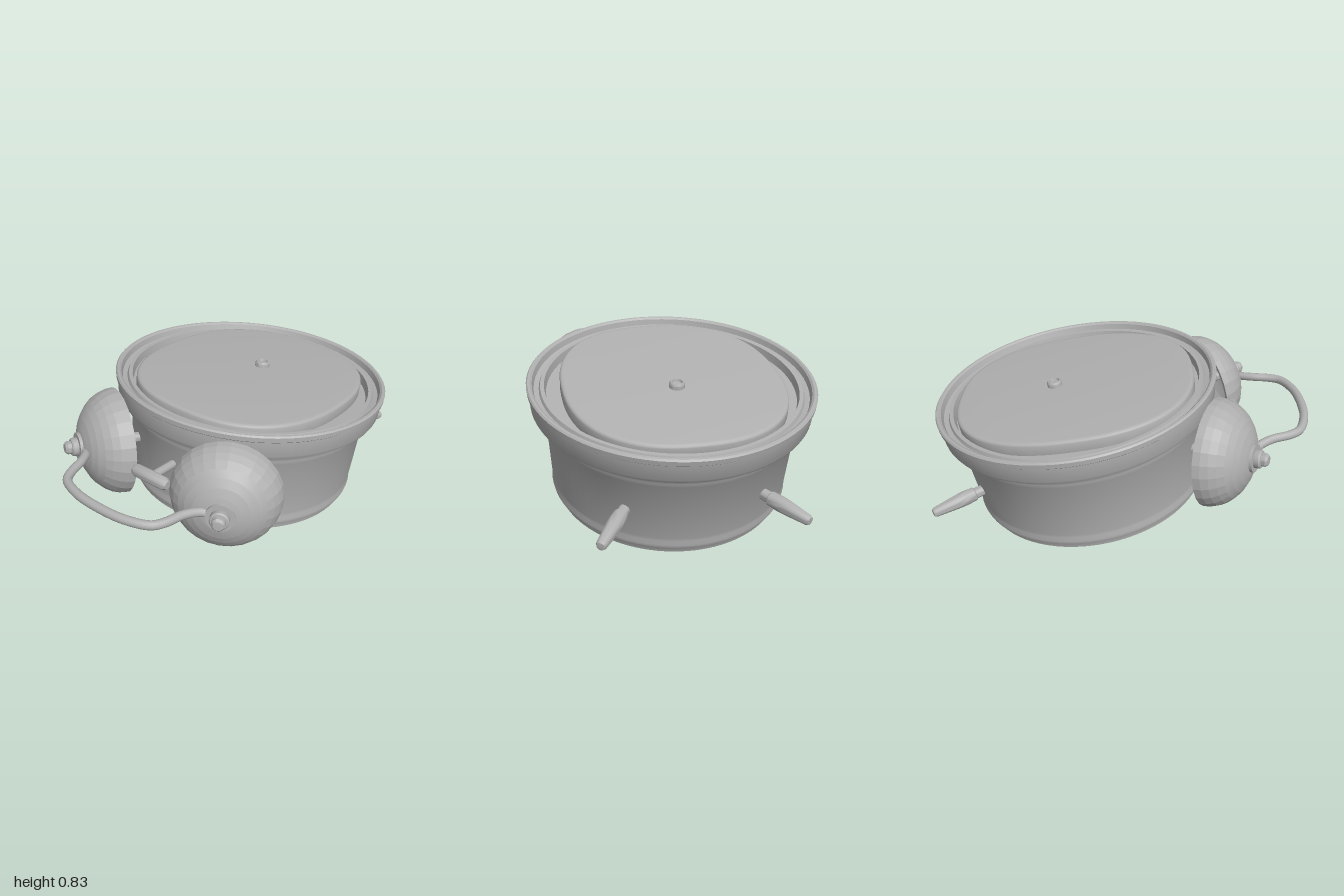
import * as THREE from 'three';
import { toCreasedNormals } from 'three/addons/utils/BufferGeometryUtils.js';

const metal = new THREE.MeshStandardMaterial({ color: 0xb0b0b0 });
const V = (x, y, z) => new THREE.Vector3(x, y, z);

function add(parent, name, geometry) {
  const mesh = new THREE.Mesh(geometry, metal);
  mesh.name = name;
  parent.add(mesh);
  return mesh;
}

function lathe(points, segments = 24, crease = 0.6, zScale = 1) {
  const g = new THREE.LatheGeometry(points.map(p => new THREE.Vector2(...p)), segments);
  g.scale(1, 1, zScale);
  return toCreasedNormals(g, crease);
}

// Turns a y-axis part so that it points outwards at an angle around the clock
function addRadial(parent, name, geometry, angle, height) {
  geometry.rotateX(Math.PI / 2);
  geometry.rotateY(angle);
  return add(parent, name, geometry).translateY(height);
}

export function createModel() {
  const model = new THREE.Group();
  model.name = 'alarmClock';

  // The clock lies face down, its axis leaning backwards
  const clock = new THREE.Group();
  clock.name = 'clockBody';
  clock.position.set(0, 0.1, -0.157);
  clock.rotation.x = -0.15;
  model.add(clock);

  // Casing: dial recess, bezel, tapered wall, flared rim and back recess
  add(clock, 'casing', lathe([
    [0, 0.14], [0.555, 0.14], [0.565, 0.03], [0.575, 0.004], [0.59, 0], [0.603, 0.008],
    [0.607, 0.035], [0.613, 0.045], [0.626, 0.052], [0.63, 0.07], [0.624, 0.09],
    [0.628, 0.11], [0.648, 0.42], [0.655, 0.43], [0.657, 0.45], [0.664, 0.475],
    [0.685, 0.495], [0.712, 0.503], [0.721, 0.52], [0.728, 0.6], [0.735, 0.606],
    [0.737, 0.63], [0.73, 0.638], [0.718, 0.638], [0.708, 0.63], [0.7, 0.6],
    [0.675, 0.595], [0.668, 0.612], [0.648, 0.612], [0.64, 0.57], [0, 0.57],
  ], 80, 0.6, 1.025));

  // Back cover with flattened sides
  const outline = [];
  for (let i = 0; i < 72; i++) {
    const a = i / 72 * Math.PI * 2, c = Math.cos(a), s = Math.sin(a);
    outline.push(new THREE.Vector2(
      0.548 * Math.sign(c) * Math.abs(c) ** 0.8,
      0.617 * Math.sign(s) * Math.abs(s) ** 0.86));
  }
  const cover = new THREE.ExtrudeGeometry(new THREE.Shape(outline), {
    depth: 0.06, bevelThickness: 0.015, bevelSize: 0.018, bevelSegments: 3,
  });
  cover.rotateX(-Math.PI / 2);
  add(clock, 'backCover', toCreasedNormals(cover, 0.6)).position.y = 0.56;

  // Small winding knob with a sunken centre
  add(clock, 'backKnob', lathe([
    [0.04, 0.62], [0.04, 0.655], [0.034, 0.664], [0.028, 0.664], [0.024, 0.652], [0, 0.652],
  ])).position.z = -0.107;

  // Dial markers
  for (let i = 0; i < 12; i++) {
    const g = new THREE.BoxGeometry(i % 3 ? 0.022 : 0.04, 0.008, 0.1);
    g.translate(0, 0.137, 0.45);
    g.rotateY(i * Math.PI / 6);
    add(clock, 'hourMarker', g);
  }

  // Hub and hands
  add(clock, 'handHub', lathe([
    [0, 0.045], [0.02, 0.045], [0.022, 0.06], [0.038, 0.062], [0.038, 0.085], [0.024, 0.09], [0.024, 0.14],
  ]));
  const hands = [
    ['minuteHand', -0.25, -0.37, 0.022, 0.075],
    ['hourHand', 0.16, -0.14, 0.028, 0.085],
    ['secondHand', 0.33, 0.32, 0.012, 0.095],
  ];
  for (const [name, x, z, width, height] of hands) {
    const length = Math.hypot(x, z);
    const g = new THREE.BoxGeometry(width, 0.01, length + 0.06);
    g.translate(0, 0, length / 2 - 0.03);
    g.rotateY(Math.atan2(x, z));
    add(clock, name, g).position.y = height;
  }

  // Bell cup: inner dome down to the lip, then outer dome up
  const cup = [];
  for (let i = 0; i <= 9; i++) {
    const a = i / 9 * Math.PI / 2;
    cup.push([0.265 * Math.sin(a), 0.2 * Math.cos(a)]);
  }
  for (let i = 0; i <= 9; i++) {
    const a = i / 9 * Math.PI / 2;
    cup.push([0.282 * Math.cos(a), 0.22 * Math.sin(a)]);
  }
  cup[19][0] = 0;

  for (const side of [-1, 1]) {
    const angle = side * 0.485;
    const bell = lathe(cup, 26, 0.15);
    bell.translate(0, 0.766, 0);
    addRadial(clock, 'bell', bell, angle, 0.323);

    // Post through the bell with a nut and rounded end
    addRadial(clock, 'bellPost', lathe([
      [0.027, 0.58], [0.027, 0.98], [0.044, 0.98], [0.048, 0.99], [0.048, 1.018],
      [0.042, 1.025], [0.034, 1.026], [0.034, 1.046], [0.024, 1.058], [0, 1.06],
    ]), angle, 0.323);

    // Flat eye at the end of the handle
    const eye = new THREE.CylinderGeometry(0.072, 0.072, 0.022, 28);
    eye.translate(0, 0.982, 0);
    addRadial(clock, 'handleEye', eye, angle, 0.323);

    // Tapered foot
    addRadial(clock, 'foot', lathe([
      [0.027, 0.58], [0.029, 0.69], [0.036, 0.695], [0.039, 0.75], [0.037, 0.79],
      [0.026, 0.915], [0.02, 0.927], [0, 0.93],
    ]), Math.PI - side * 0.555, 0.255);
  }

  // Carrying handle
  const half = [
    [0.43, 0.545, 0.655], [0.375, 0.56, 0.685], [0.33, 0.575, 0.76],
    [0.3, 0.583, 0.86], [0.265, 0.588, 0.915], [0.15, 0.595, 0.962],
  ];
  const path = [
    ...half.map(([x, y, z]) => V(-x, y, z)), V(0, 0.598, 0.976),
    ...half.slice().reverse().map(p => V(...p)),
  ];
  add(model, 'handle', new THREE.TubeGeometry(new THREE.CatmullRomCurve3(path), 72, 0.023, 12));

  // Hammer between the bells
  const head = lathe([
    [0, -0.11], [0.022, -0.11], [0.033, -0.09], [0.034, 0], [0.033, 0.09], [0.022, 0.11], [0, 0.11],
  ]);
  head.rotateZ(Math.PI / 2);
  add(model, 'hammerHead', head).position.set(0, 0.54, 0.615);
  const stem = new THREE.LineCurve3(V(0, 0.51, 0.42), V(0, 0.54, 0.615));
  add(model, 'hammerStem', new THREE.TubeGeometry(stem, 1, 0.022, 14));

  return model;
}
